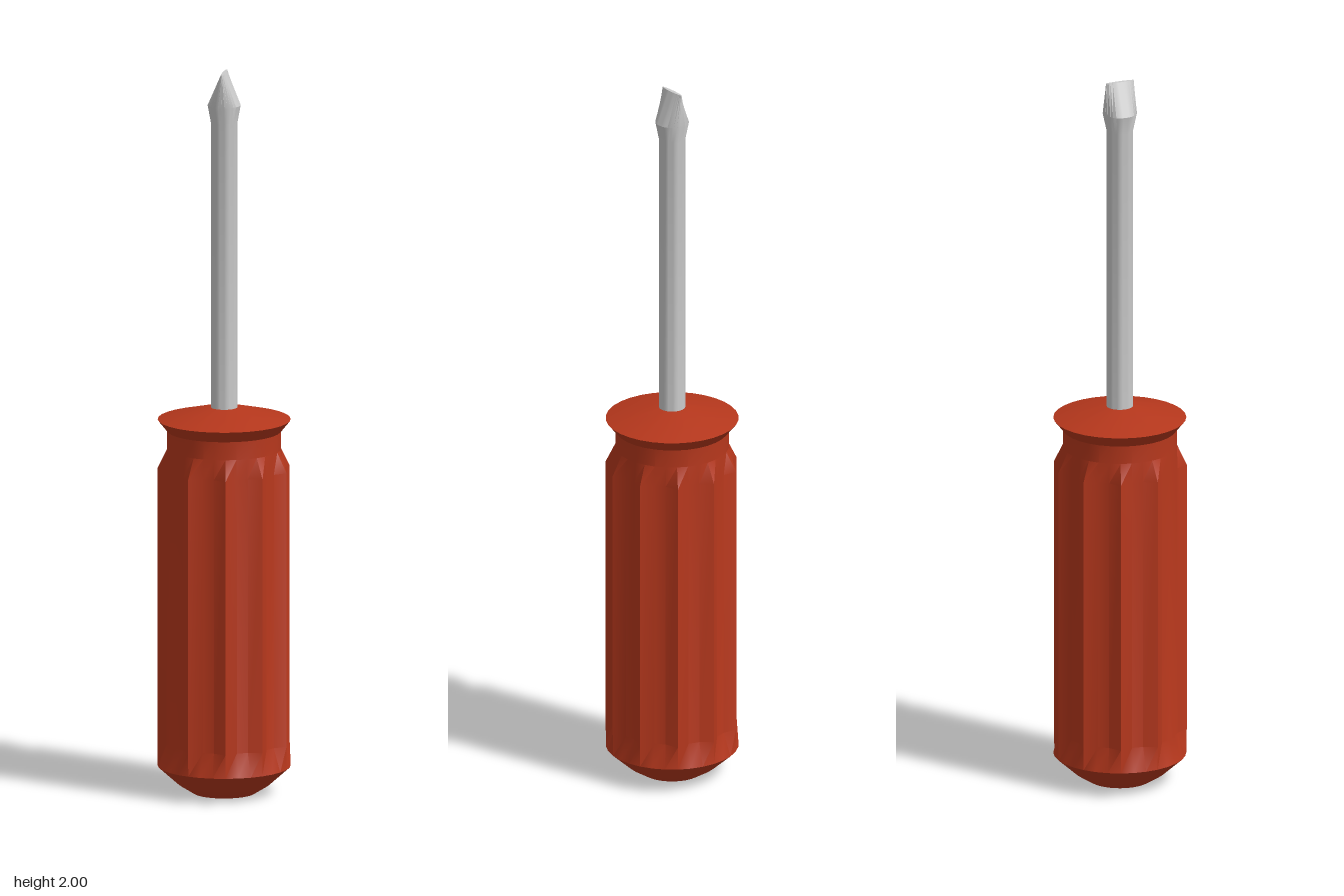
import * as THREE from 'three';
import { toCreasedNormals } from 'three/addons/utils/BufferGeometryUtils.js';

const SIDES = 32;

// Skins a stack of rings, bottom to top, and closes both ends.
// Each ring is [y, radiusX, radiusZ], or [y, radiusAt(i)] for a shaped outline.
function loft(rings, crease) {
  const point = ([y, rx, rz = rx], i) => {
    const k = i % SIDES;
    const a = (k / SIDES) * Math.PI * 2;
    const sx = typeof rx === 'function' ? rx(k) : rx;
    const sz = typeof rz === 'function' ? rz(k) : rz;
    return [Math.sin(a) * sx, y, Math.cos(a) * sz];
  };
  const first = rings[0];
  const last = rings[rings.length - 1];
  const pos = [];
  for (let i = 0; i < SIDES; i++) {
    for (let r = 0; r < rings.length - 1; r++) {
      const a = point(rings[r], i), b = point(rings[r], i + 1);
      const c = point(rings[r + 1], i + 1), d = point(rings[r + 1], i);
      pos.push(...a, ...b, ...c, ...a, ...c, ...d);
    }
    pos.push(0, first[0], 0, ...point(first, i + 1), ...point(first, i));
    pos.push(0, last[0], 0, ...point(last, i), ...point(last, i + 1));
  }
  const geometry = new THREE.BufferGeometry();
  geometry.setAttribute('position', new THREE.Float32BufferAttribute(pos, 3));
  return toCreasedNormals(geometry, crease);
}

export function createModel() {
  const group = new THREE.Group();
  const red = new THREE.MeshStandardMaterial({ color: 0xb5371c });
  const grey = new THREE.MeshStandardMaterial({ color: 0xcccccc });

  const add = (name, geometry, material) => {
    const mesh = new THREE.Mesh(geometry, material);
    mesh.name = name;
    group.add(mesh);
  };

  // Ten grip ridges, one on every third side, leaving one wider gap
  const ridged = (k) => {
    const j = (k + 2) % SIDES;
    return j % 3 === 0 && j <= 27 ? 0.182 : 0.16;
  };

  // Handle: rounded butt, ridged grip, neck and flared collar
  add('handle', loft([
    [0, 0.085],
    [0.025, 0.125],
    [0.075, 0.181],
    [0.14, ridged],
    [0.9, ridged],
    [0.955, 0.155],
    [1.005, 0.155],
    [1.037, 0.181],
    [1.07, 0.05],
  ], 0.45), red);

  // Blade: round shaft that swells, then flattens to a thin edge along z
  add('blade', loft([
    [1.05, 0.036],
    [1.86, 0.036],
    [1.91, 0.045, 0.047],
    [2, 0.005, 0.041],
  ], 0.5), grey);

  return group;
}
